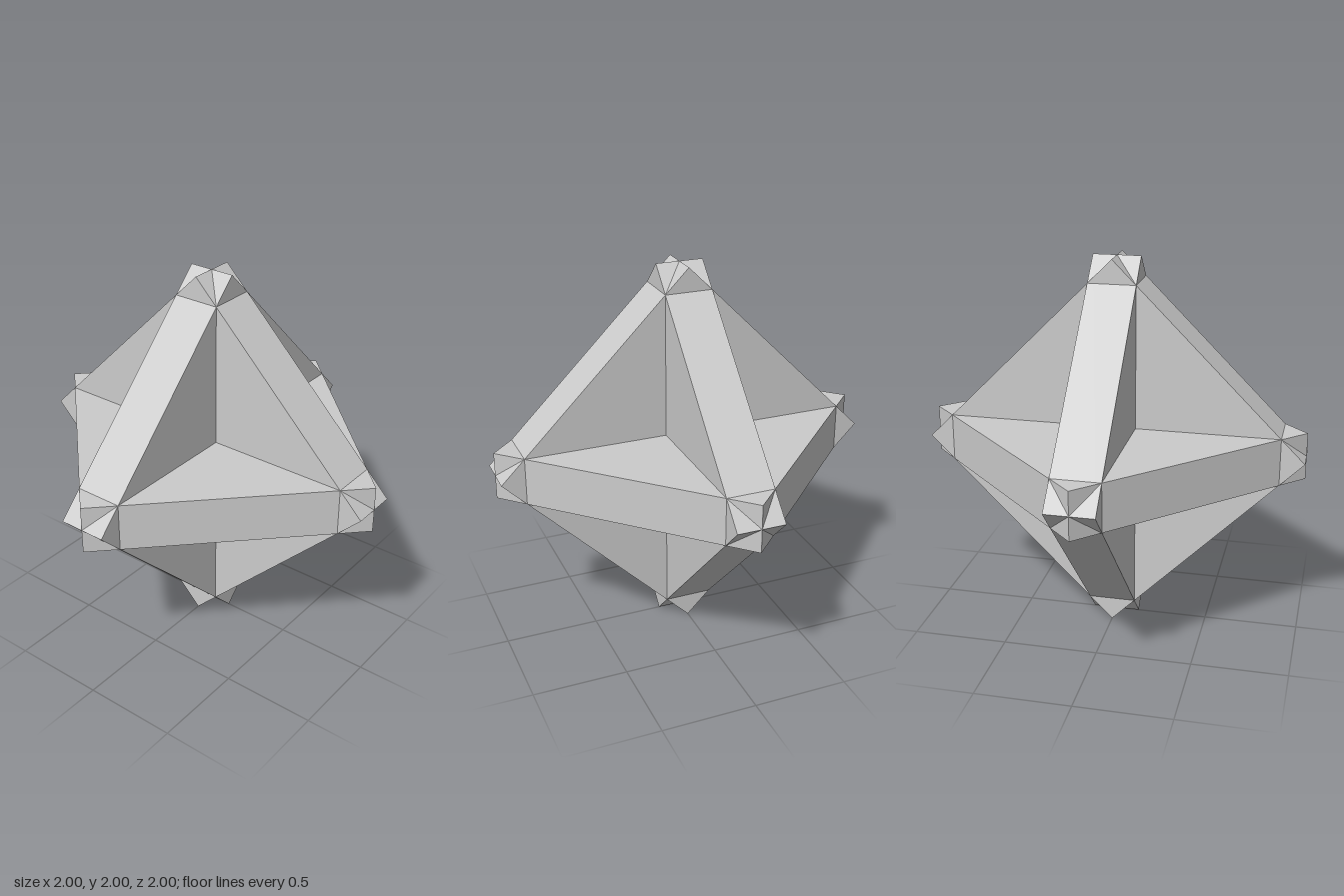
import * as THREE from 'three';

export function createModel() {
  const group = new THREE.Group();
  group.name = 'interlockedPlates';
  const material = new THREE.MeshStandardMaterial({ color: 0xcccccc, flatShading: true });

  // Square plate stood on its corner: diagonal 2, thickness 0.25
  const side = Math.SQRT2;
  const plate = new THREE.BoxGeometry(side, side, 0.25).rotateZ(Math.PI / 4);

  // Three identical plates crossing at right angles through one centre
  const turns = {
    frontPlate: [0, 0],
    sidePlate: [0, Math.PI / 2],
    levelPlate: [Math.PI / 2, 0],
  };
  for (const [name, [rx, ry]] of Object.entries(turns)) {
    const mesh = new THREE.Mesh(plate, material);
    mesh.name = name;
    mesh.rotation.set(rx, ry, 0);
    mesh.position.y = 1;
    group.add(mesh);
  }
  return group;
}
